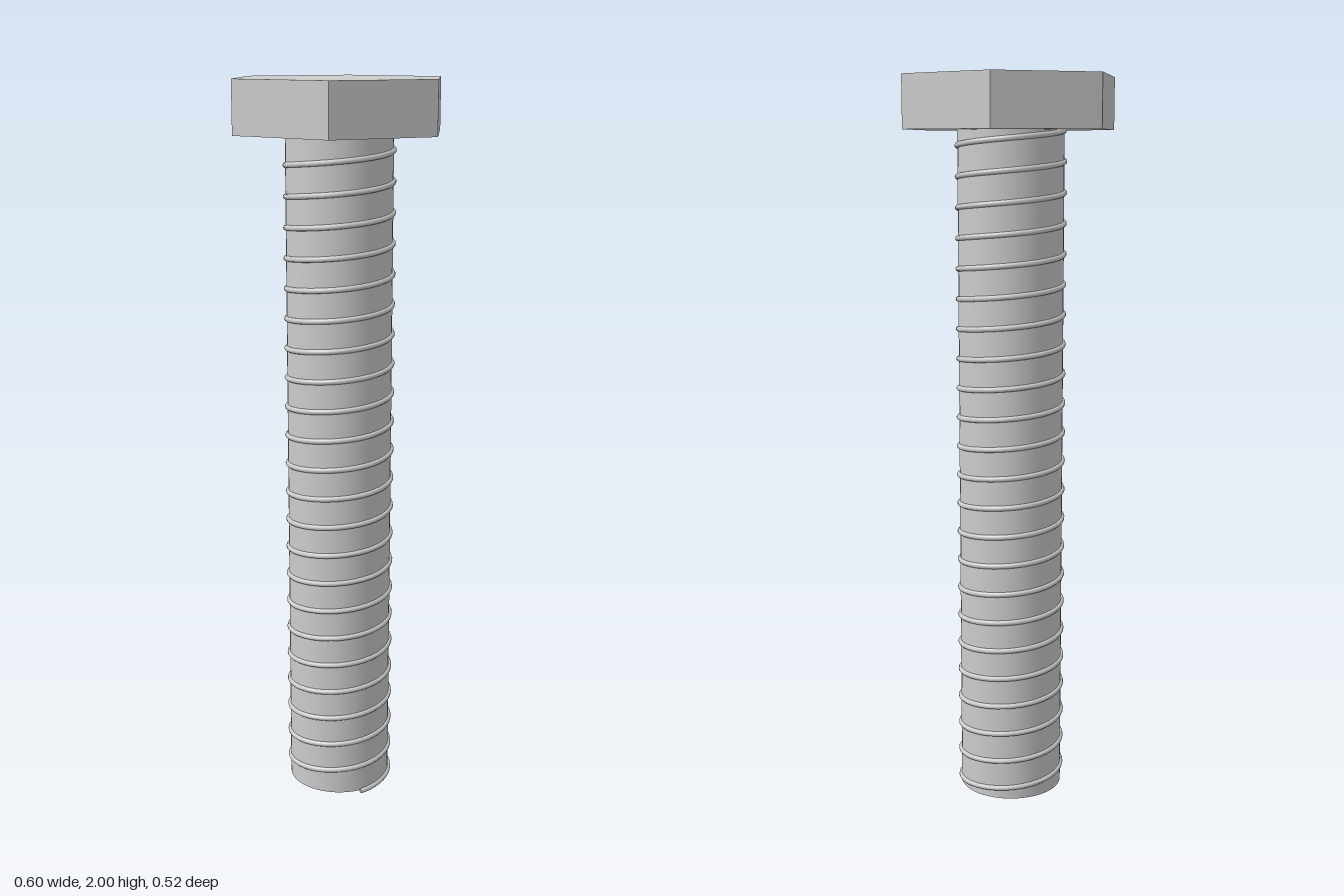
import * as THREE from 'three';

const SHAFT_RADIUS = 0.143, SHAFT_BOTTOM = 0.01, HEAD_BOTTOM = 1.86, TOP = 2;
const THREAD_RADIUS = 0.0075, PITCH = 0.0816;

// Right-handed helix, climbing anticlockwise as seen from above
class Helix extends THREE.Curve {
  constructor(radius, pitch, y0, y1, startAngle) {
    super();
    Object.assign(this, { radius, pitch, y0, y1, startAngle });
    this.arcLengthDivisions = 2000;
  }
  getPoint(t, target = new THREE.Vector3()) {
    const rise = (this.y1 - this.y0) * t;
    const a = this.startAngle + (rise / this.pitch) * Math.PI * 2;
    return target.set(this.radius * Math.cos(a), this.y0 + rise, -this.radius * Math.sin(a));
  }
}

export function createModel() {
  const group = new THREE.Group();
  group.name = 'hexBolt';
  const smooth = new THREE.MeshStandardMaterial({ color: 0xcccccc });
  const flat = new THREE.MeshStandardMaterial({ color: 0xcccccc, flatShading: true });

  const add = (name, geometry, material, y = 0) => {
    const mesh = new THREE.Mesh(geometry, material);
    mesh.name = name;
    mesh.position.y = y;
    group.add(mesh);
    return mesh;
  };

  // Hexagonal head with corners on the x axis
  const headHeight = TOP - HEAD_BOTTOM;
  add('head', new THREE.CylinderGeometry(0.3, 0.3, headHeight, 6, 1, false, Math.PI / 2),
    flat, HEAD_BOTTOM + headHeight / 2);

  // Round shaft
  const shaftHeight = HEAD_BOTTOM - SHAFT_BOTTOM;
  add('shaft', new THREE.CylinderGeometry(SHAFT_RADIUS, SHAFT_RADIUS, shaftHeight, 48),
    smooth, SHAFT_BOTTOM + shaftHeight / 2);

  // Thin round thread wound along the whole shaft
  const helix = new Helix(SHAFT_RADIUS, PITCH, THREAD_RADIUS, HEAD_BOTTOM - 0.003, -Math.PI / 6);
  add('thread', new THREE.TubeGeometry(helix, 900, THREAD_RADIUS, 10), smooth);

  // Flat discs closing both ends of the thread
  for (const [name, t, sign] of [['threadStart', 0, -1], ['threadEnd', 1, 1]]) {
    const cap = add(name, new THREE.CircleGeometry(THREAD_RADIUS, 10), smooth);
    const outward = helix.getTangent(t).multiplyScalar(sign);
    cap.position.copy(helix.getPoint(t));
    cap.quaternion.setFromUnitVectors(new THREE.Vector3(0, 0, 1), outward);
  }

  return group;
}
